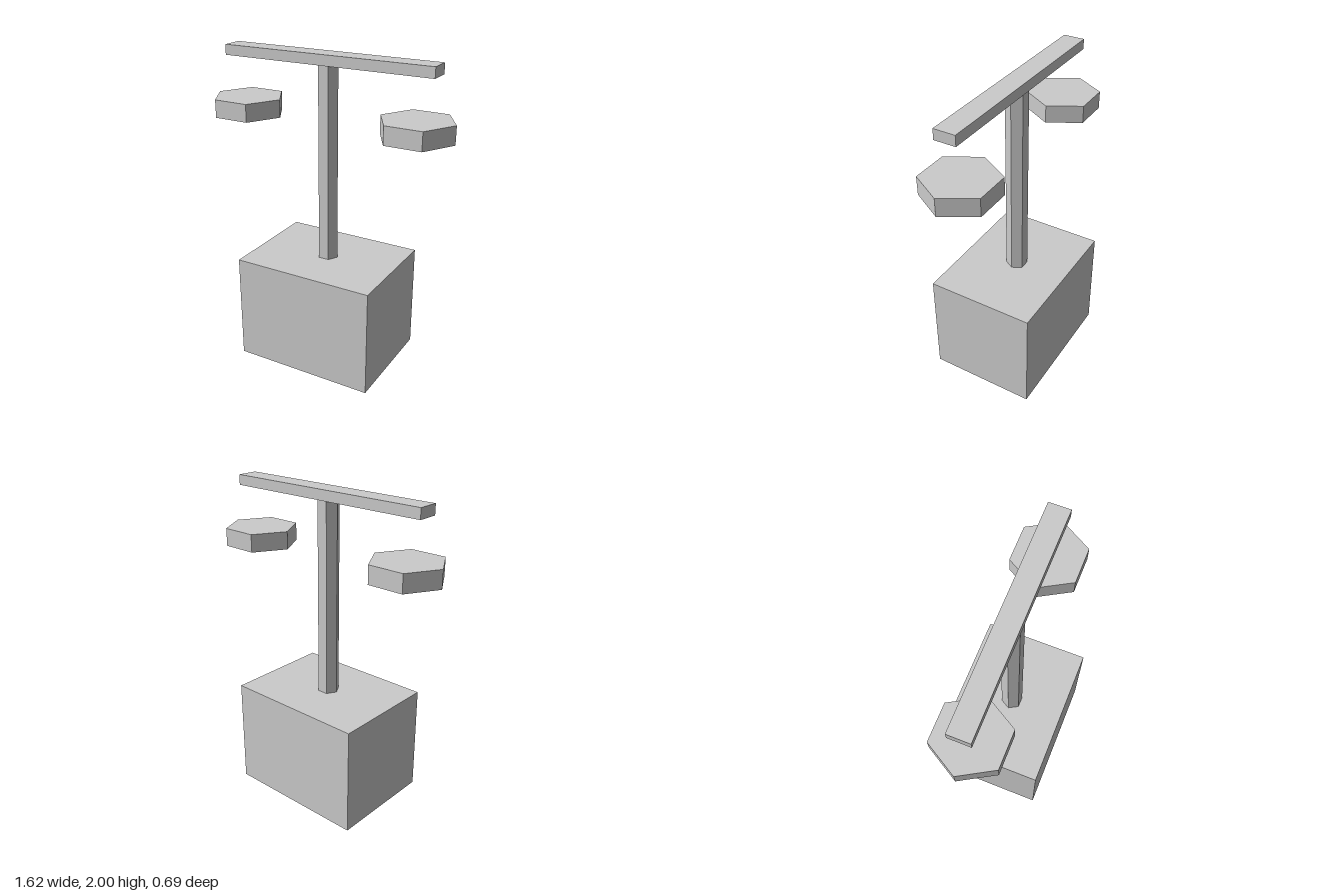
import * as THREE from 'three';

export function createModel() {
  const group = new THREE.Group();
  group.name = 'balanceScale';
  const material = new THREE.MeshStandardMaterial({ color: 0xcccccc, flatShading: true });

  const add = (name, geometry, x, y) => {
    const mesh = new THREE.Mesh(geometry, material);
    mesh.name = name;
    mesh.position.set(x, y, 0);
    group.add(mesh);
  };
  // Six-sided prism with corners pointing along x
  const hexPrism = (radius, height) =>
    new THREE.CylinderGeometry(radius, radius, height, 6).rotateY(Math.PI / 6);

  // Block base, standing on the ground
  add('base', new THREE.BoxGeometry(0.924, 0.693, 0.693), 0, 0.3465);

  // Post from the base to the beam
  add('post', hexPrism(0.068, 1.245), 0, 1.3145);

  // Cross beam
  add('beam', new THREE.BoxGeometry(1.384, 0.065, 0.135), 0, 1.9675);

  // Floating pans, one per side
  for (const [name, side] of [['leftPan', 1], ['rightPan', -1]]) {
    add(name, hexPrism(0.231, 0.114), side * 0.577, 1.622);
  }

  return group;
}
